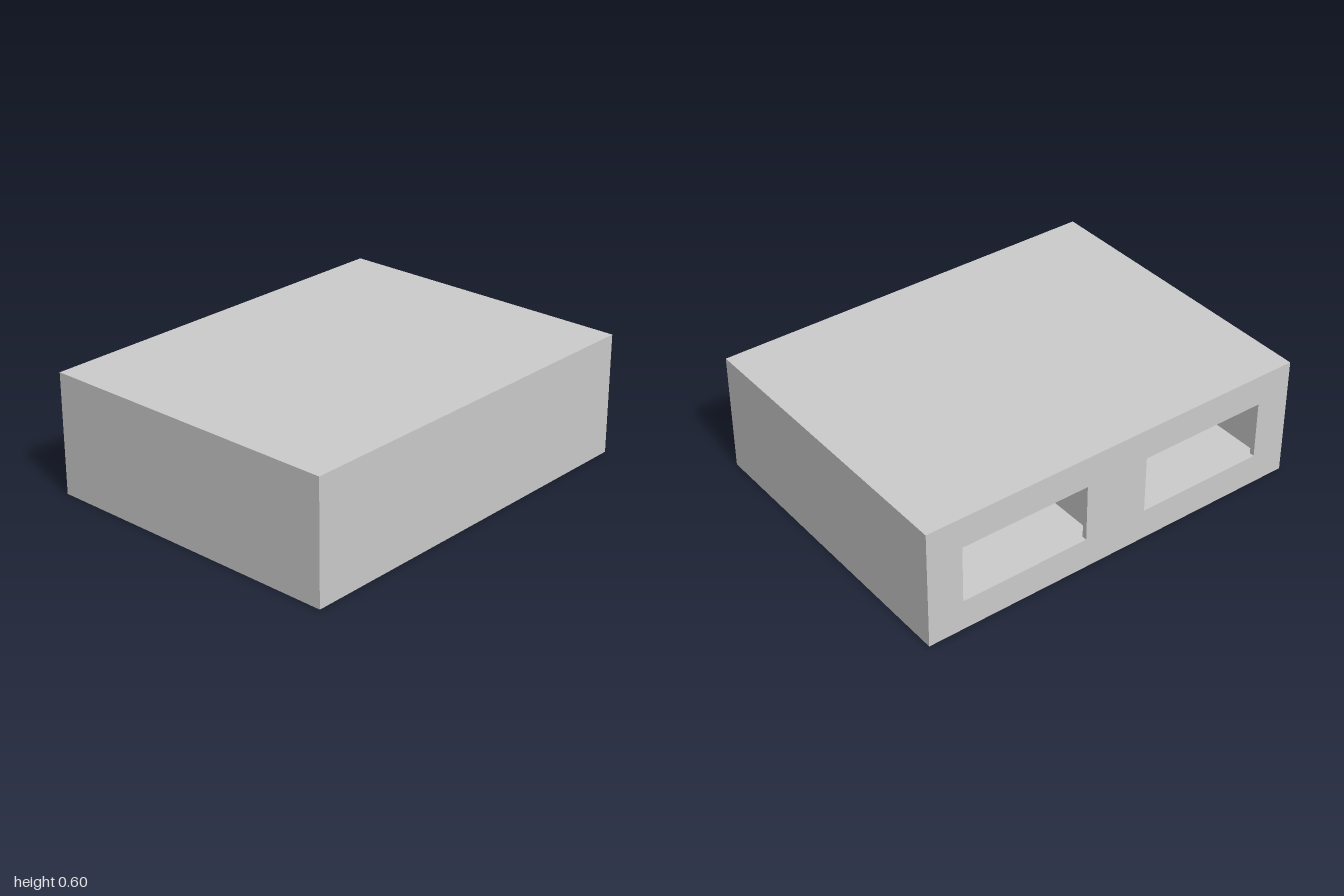
import * as THREE from 'three';

const W = 2, H = 0.6, D = 1.556, T = 0.025; // overall size and wall thickness

function addRect(path, x0, y0, x1, y1) {
  path.moveTo(x0, y0);
  path.lineTo(x1, y0);
  path.lineTo(x1, y1);
  path.lineTo(x0, y1);
  path.closePath();
  return path;
}

// A W x H slab along z with one rectangular hole on each side of the middle
function slabWithHoles(inner, outer, bottom, top, depth) {
  const shape = addRect(new THREE.Shape(), -W / 2, 0, W / 2, H);
  shape.holes.push(
    addRect(new THREE.Path(), inner, bottom, outer, top),
    addRect(new THREE.Path(), -outer, bottom, -inner, top)
  );
  return new THREE.ExtrudeGeometry(shape, { depth, bevelEnabled: false });
}

export function createModel() {
  const group = new THREE.Group();
  group.name = 'hollowBox';
  const material = new THREE.MeshStandardMaterial({ color: 0xcccccc, flatShading: true });

  const add = (name, geometry, y, z) => {
    const mesh = new THREE.Mesh(geometry, material);
    mesh.name = name;
    mesh.position.set(0, y, z);
    group.add(mesh);
  };

  // Floor, roof, sides and central divider: two long compartments
  add('shellWithDivider', slabWithHoles(T / 2, W / 2 - T, T, H - T, D - 2 * T), 0, -D / 2 + T);

  // Closed front wall
  add('frontWall', new THREE.BoxGeometry(W, H, T), H / 2, D / 2 - T / 2);

  // Back wall with one entrance per compartment
  add('backWallWithOpenings', slabWithHoles(0.164, 0.822, 0.155, 0.445, T), 0, -D / 2);

  return group;
}
